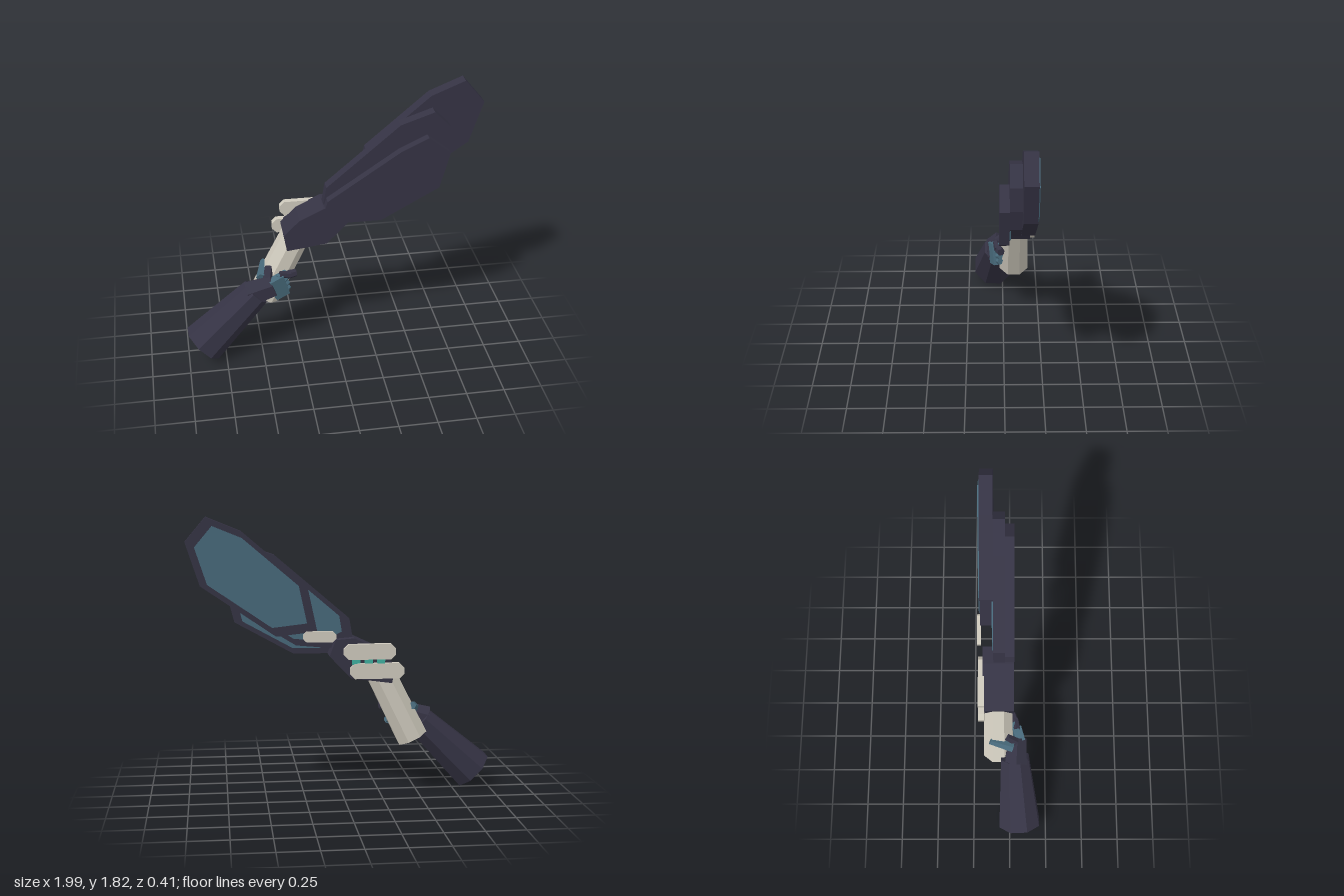
import * as THREE from 'three';

const mat = (name, color) => {
  const m = new THREE.MeshStandardMaterial({ color });
  m.name = name;
  return m;
};

export function createModel() {
  const model = new THREE.Group();
  model.name = 'bladedArm';
  const dark = mat('dark indigo', 0x353344);
  const cream = mat('warm cream', 0xcfcabd);
  const teal = mat('muted teal', 0x47697a);
  const glow = mat('bright turquoise', 0x3fb09f);

  const add = (name, geo, material, parent = model) => {
    const flat = geo.index ? geo.toNonIndexed() : geo;
    flat.computeVertexNormals();
    const mesh = new THREE.Mesh(flat, material);
    mesh.name = name;
    parent.add(mesh);
    return mesh;
  };

  // Flat polygon in the xy plane, filling z0 to z1
  const plate = (name, pts, z0, z1, material) => {
    const shape = new THREE.Shape(pts.map(([x, y]) => new THREE.Vector2(x, y)));
    const geo = new THREE.ExtrudeGeometry(shape, { depth: z1 - z0, bevelEnabled: false });
    geo.translate(0, 0, z0);
    return add(name, geo, material);
  };

  // Outline shrunk towards its middle
  const shrink = (pts, k) => {
    const cx = pts.reduce((s, p) => s + p[0], 0) / pts.length;
    const cy = pts.reduce((s, p) => s + p[1], 0) / pts.length;
    return pts.map(([x, y]) => [cx + (x - cx) * k, cy + (y - cy) * k]);
  };

  // Tapered prism between two points
  const limb = (name, a, b, ra, rb, sides, material, depth = 1) => {
    const p = new THREE.Vector3(...a), q = new THREE.Vector3(...b);
    const dir = q.clone().sub(p);
    const geo = new THREE.CylinderGeometry(rb, ra, dir.length(), sides);
    geo.rotateY(Math.PI / sides);
    geo.scale(1, 1, depth);
    const mesh = add(name, geo, material);
    mesh.position.copy(p).add(q).multiplyScalar(0.5);
    mesh.quaternion.setFromUnitVectors(new THREE.Vector3(0, 1, 0), dir.normalize());
    return mesh;
  };

  // Horizontal bar with clipped corners
  const bar = (name, x0, x1, y, h, z0, z1) => {
    const c = h * 0.3, r = h / 2;
    plate(name, [[x0 + c, y - r], [x1 - c, y - r], [x1, y - r + c], [x1, y + r - c],
      [x1 - c, y + r], [x0 + c, y + r], [x0, y + r - c], [x0, y - r + c]], z0, z1, cream);
  };

  // Three stacked blades, each with a teal panel on its rear
  const blades = [
    ['frontBlade', [[-0.06, 1.05], [0.09, 0.935], [0.31, 0.935], [0.69, 1.145],
      [0.755, 1.39], [0.61, 1.505], [0.43, 1.42], [-0.045, 1.1]], -0.03, 0.03],
    ['middleBlade', [[-0.065, 1.05], [0.08, 0.98], [0.3, 1.0], [0.72, 1.26],
      [0.76, 1.4], [0.76, 1.55], [0.655, 1.655], [0.435, 1.58], [-0.045, 1.17]], -0.105, -0.03],
    ['rearBlade', [[0.17, 1.1], [0.43, 1.07], [0.905, 1.395], [0.995, 1.67],
      [0.865, 1.825], [0.645, 1.735], [0.23, 1.38]], -0.19, -0.105],
  ];
  for (const [name, pts, z0, z1] of blades) {
    plate(name, pts, z0, z1, dark);
    plate(name + 'Panel', shrink(pts, 0.85), z0 - 0.008, z0, teal);
  }

  // Block joining blades to the grip
  plate('bladeBase', [[-0.315, 0.755], [-0.05, 0.79], [0.09, 0.935], [0.05, 1.04],
    [-0.07, 1.05], [-0.23, 0.975], [-0.335, 0.87]], -0.175, 0.029, dark);

  // Grip
  limb('grip', [-0.465, 0.375, -0.075], [-0.25, 0.81, -0.075], 0.107, 0.099, 8, cream);

  // Rear bars and the glowing beads between them
  bar('upperBar', -0.335, 0, 0.965, 0.1, -0.205, -0.165);
  bar('lowerBar', -0.39, -0.04, 0.84, 0.1, -0.205, -0.165);
  bar('bladeClip', 0.05, 0.26, 1.067, 0.07, -0.21, -0.185);
  for (const x of [-0.08, -0.16, -0.24]) {
    const bead = add('bead', new THREE.BoxGeometry(0.05, 0.045, 0.035), glow);
    bead.position.set(x, 0.905, -0.185);
  }

  // Sleeve and back of the hand
  limb('sleeve', [-0.902, 0.11, 0.067], [-0.53, 0.465, 0.035], 0.148, 0.1, 8, dark);
  limb('handBack', [-0.575, 0.455, 0.04], [-0.41, 0.51, 0.05], 0.1, 0.082, 6, dark, 0.85);

  // Knuckles and fingers curling around the grip
  const knuckles = add('knuckles', new THREE.BoxGeometry(0.1, 0.15, 0.06), teal);
  knuckles.position.set(-0.38, 0.505, 0.055);
  knuckles.rotation.set(0, 0.3, 0.3);
  for (let i = 0; i < 4; i++) {
    const y = 0.455 + i * 0.037, x = -0.322 - i * 0.006;
    limb('finger', [x - 0.04, y, 0.055], [x + 0.015, y + 0.025, 0.02], 0.026, 0.022, 6, teal);
  }
  limb('fingertip', [-0.37, 0.595, 0.05], [-0.3, 0.575, 0.035], 0.022, 0.026, 6, dark);
  limb('fingertip', [-0.31, 0.575, 0.03], [-0.26, 0.575, 0.015], 0.03, 0.027, 6, dark);

  // Thumb
  limb('thumb', [-0.485, 0.555, 0.02], [-0.455, 0.595, -0.13], 0.04, 0.026, 6, teal);
  limb('thumbTip', [-0.45, 0.56, 0.04], [-0.435, 0.62, -0.02], 0.032, 0.025, 6, dark);

  return model;
}
